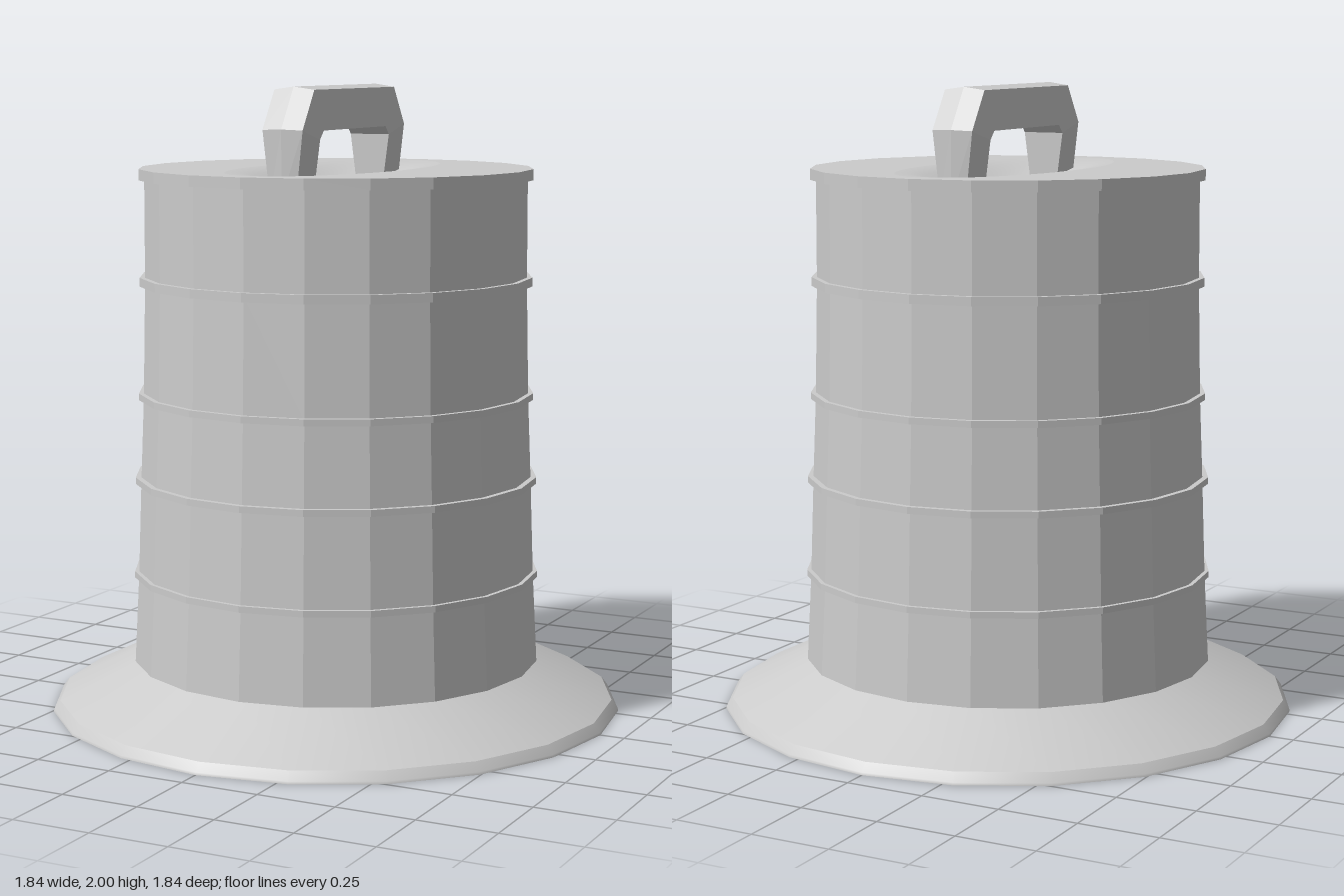
import * as THREE from 'three';

const SIDES = 20;
const LID_Y = 1.74;
const LID_R = 0.628;
const DENT = { x: 0.26, z: 0.56, depth: 0.07, segments: 32 };

const smooth = new THREE.MeshStandardMaterial({ color: 0xcccccc });
const flat = new THREE.MeshStandardMaterial({ color: 0xcccccc, flatShading: true });

function add(parent, name, geometry, material) {
  const mesh = new THREE.Mesh(geometry, material);
  mesh.name = name;
  parent.add(mesh);
  return mesh;
}

// Profile of [radius, height] pairs, listed from the bottom up
function lathe(profile) {
  return new THREE.LatheGeometry(profile.map(([r, y]) => new THREE.Vector2(r, y)), SIDES);
}

function ellipsePoints(rx, ry, n) {
  return Array.from({ length: n }, (_, i) => {
    const a = (i / n) * Math.PI * 2;
    return new THREE.Vector2(Math.cos(a) * rx, Math.sin(a) * ry);
  });
}

// Flat lid with an oval opening for the hand recess
function lidGeometry() {
  const shape = new THREE.Shape(ellipsePoints(LID_R, LID_R, SIDES));
  shape.holes.push(new THREE.Path(ellipsePoints(DENT.x, DENT.z, DENT.segments)));
  return new THREE.ShapeGeometry(shape).rotateX(-Math.PI / 2).translate(0, LID_Y, 0);
}

// Oval bowl that sinks smoothly below the lid
function recessGeometry() {
  const g = new THREE.RingGeometry(0.001, 1, DENT.segments, 8).rotateX(-Math.PI / 2);
  const p = g.attributes.position;
  for (let i = 0; i < p.count; i++) {
    const x = p.getX(i), z = p.getZ(i);
    const fall = Math.max(0, 1 - x * x - z * z);
    p.setXYZ(i, x * DENT.x, LID_Y - DENT.depth * fall * fall, z * DENT.z);
  }
  g.computeVertexNormals();
  return g;
}

// Five-sided section swept through the stations, with a low ridge along the outside
function handleGeometry() {
  const half = [
    { outer: [0.368, 1.66], inner: [0.245, 1.66], w: 0.045 },
    { outer: [0.37, 1.872], inner: [0.245, 1.838], w: 0.069 },
    { outer: [0.288, 2.0], inner: [0.22, 1.865], w: 0.069 },
  ];
  const flip = ([z, y]) => [-z, y];
  const stations = [
    ...half,
    ...half.slice().reverse().map((s) => ({ outer: flip(s.outer), inner: flip(s.inner), w: s.w })),
  ];
  const positions = [];
  const index = [];
  for (const { outer, inner, w } of stations) {
    const o = new THREE.Vector2(...outer), n = new THREE.Vector2(...inner);
    const edge = o.clone().lerp(n, 0.07);
    positions.push(0, o.y, o.x, w, edge.y, edge.x, w, n.y, n.x, -w, n.y, n.x, -w, edge.y, edge.x);
  }
  for (let s = 0; s < stations.length - 1; s++) {
    for (let k = 0; k < 5; k++) {
      const a = s * 5 + k, b = s * 5 + ((k + 1) % 5);
      index.push(a, b, b + 5, a, b + 5, a + 5);
    }
  }
  // End caps
  const last = (stations.length - 1) * 5;
  for (let k = 1; k < 4; k++) {
    index.push(0, k + 1, k, last, last + k, last + k + 1);
  }
  const g = new THREE.BufferGeometry();
  g.setAttribute('position', new THREE.Float32BufferAttribute(positions, 3));
  g.setIndex(index);
  g.computeVertexNormals();
  return g;
}

export function createModel() {
  const model = new THREE.Group();
  model.name = 'trafficBarrel';

  // Weighted foot
  const base = new THREE.Group();
  base.name = 'base';
  add(base, 'baseUnderside', lathe([[0, 0], [0.922, 0]]), flat);
  add(base, 'baseLip', lathe([[0.922, 0], [0.92, 0.008], [0.9, 0.035]]), smooth);
  add(base, 'baseSlope', lathe([[0.9, 0.035], [0.64, 0.162]]), smooth);
  model.add(base);

  // Drum wall, narrowing towards the top
  add(model, 'drum', lathe([
    [0.656, 0.155], [0.641, 0.44], [0.63, 0.75], [0.619, 1.02], [0.611, 1.385], [0.61, 1.72],
  ]), flat);

  // Raised hoops: [radius, bottom, top, wall radius]
  const hoops = [
    [0.654, 0.432, 0.452, 0.63],
    [0.648, 0.737, 0.758, 0.62],
    [0.635, 1.008, 1.029, 0.61],
    [0.628, 1.37, 1.398, 0.6],
    [LID_R, 1.705, LID_Y, 0.6],
  ];
  hoops.forEach(([r, y0, y1, wall], i) => {
    const isRim = i === hoops.length - 1;
    const profile = [[wall, y0], [r, y0], [r, y1]];
    if (!isRim) profile.push([wall, y1]);
    add(model, isRim ? 'rim' : `hoop${i + 1}`, lathe(profile), flat);
  });

  // Lid, hand recess and carrying handle
  add(model, 'lid', lidGeometry(), flat);
  add(model, 'handRecess', recessGeometry(), smooth);
  add(model, 'handle', handleGeometry(), flat);

  return model;
}
